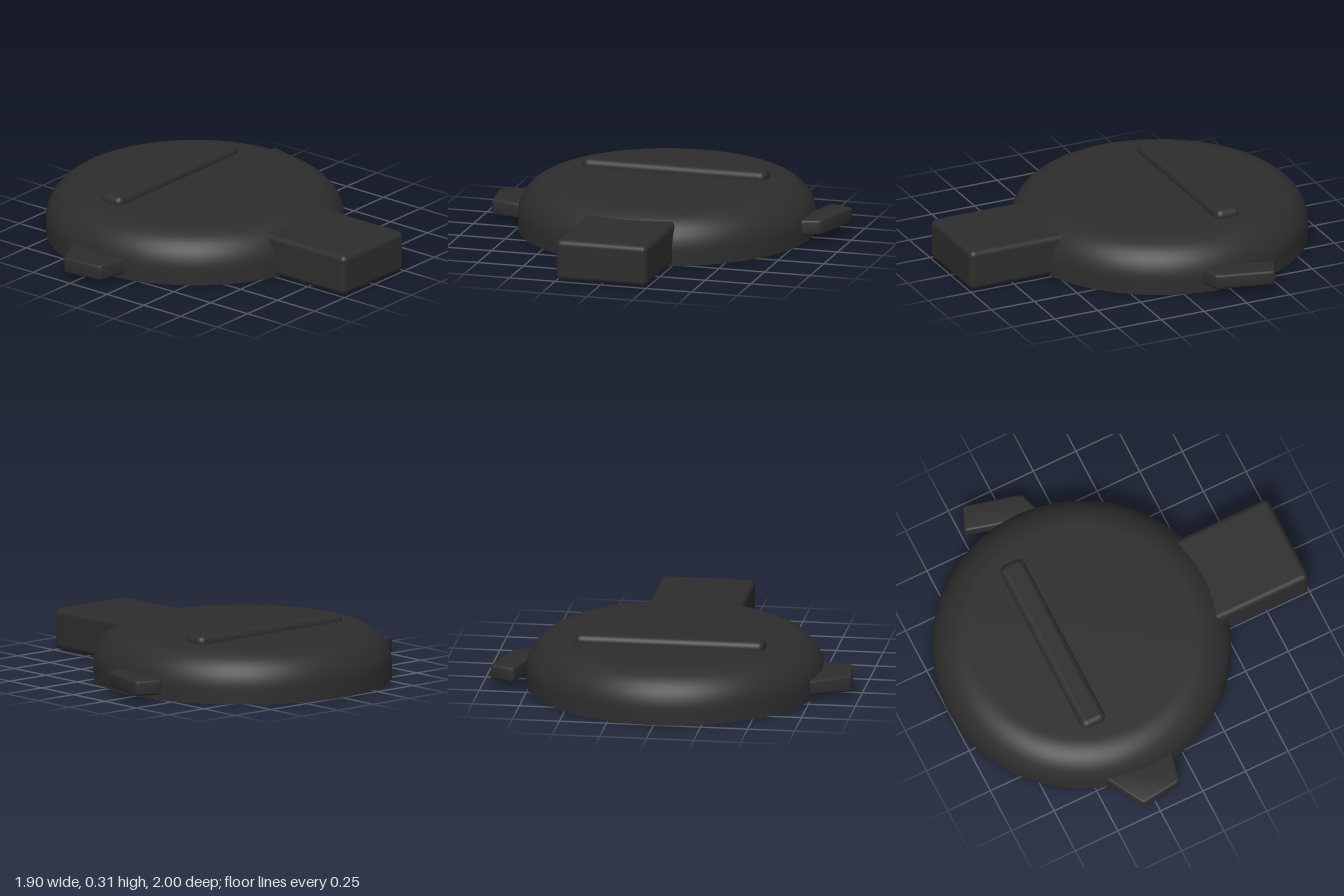
import * as THREE from 'three';
import { toCreasedNormals } from 'three/addons/utils/BufferGeometryUtils.js';
import { RoundedBoxGeometry } from 'three/addons/geometries/RoundedBoxGeometry.js';

const charcoal = new THREE.MeshStandardMaterial({ color: 0x2d2d2d });
charcoal.name = 'charcoal';

function part(name, geometry, x = 0, y = 0, z = 0) {
  const mesh = new THREE.Mesh(geometry, charcoal);
  mesh.name = name;
  mesh.position.set(x, y, z);
  return mesh;
}

// Flat slab with softened corners from an outline of [x, z] points
function slab(outline, height, corner = 0.018, bevel = 0.012) {
  const pts = outline.map(([x, z]) => new THREE.Vector2(x, -z));
  const n = pts.length;
  const shape = new THREE.Shape();
  pts.forEach((p, i) => {
    const toward = (q) => p.clone().add(q.clone().sub(p).setLength(corner));
    const a = toward(pts[(i + n - 1) % n]);
    const b = toward(pts[(i + 1) % n]);
    if (i === 0) shape.moveTo(a.x, a.y);
    else shape.lineTo(a.x, a.y);
    shape.quadraticCurveTo(p.x, p.y, b.x, b.y);
  });
  shape.closePath();
  const geometry = new THREE.ExtrudeGeometry(shape, {
    depth: height - 2 * bevel, curveSegments: 4,
    bevelEnabled: true, bevelSize: bevel, bevelThickness: bevel,
    bevelOffset: -bevel, bevelSegments: 3,
  });
  geometry.rotateX(-Math.PI / 2).translate(0, bevel, 0);
  return toCreasedNormals(geometry, 0.6);
}

export function createModel() {
  const group = new THREE.Group();
  group.name = 'roundHousing';

  // Round body: flat base, wide fillet around the top
  const radius = 0.785, height = 0.267, fillet = 0.19;
  const profile = [new THREE.Vector2(0, 0), new THREE.Vector2(radius, 0)];
  for (let i = 0; i <= 14; i++) {
    const a = (i / 14) * Math.PI / 2;
    profile.push(new THREE.Vector2(
      radius - fillet + fillet * Math.cos(a),
      height - fillet + fillet * Math.sin(a)));
  }
  profile.push(new THREE.Vector2(0, height));
  const body = toCreasedNormals(new THREE.LatheGeometry(profile, 128), 0.6);
  group.add(part('body', body, 0, 0, -0.215));

  // Raised bar across the top
  group.add(part('topBar', new RoundedBoxGeometry(1.01, 0.1, 0.14, 5, 0.036), 0, 0.26, -0.385));

  // Block projecting from the front
  group.add(part('frontBlock', new RoundedBoxGeometry(0.5, 0.22, 0.7, 5, 0.03), 0, 0.115, 0.65));

  // Side tabs
  group.add(part('leftTab', slab(
    [[0.82, -0.495], [0.952, -0.44], [0.872, -0.132], [0.74, -0.09], [0.74, -0.2]], 0.08), 0, 0.047, 0));
  group.add(part('rightTab', slab(
    [[-0.957, -0.328], [-0.93, -0.102], [-0.7, -0.05], [-0.7, -0.468]], 0.083), 0, 0.028, 0));

  return group;
}
